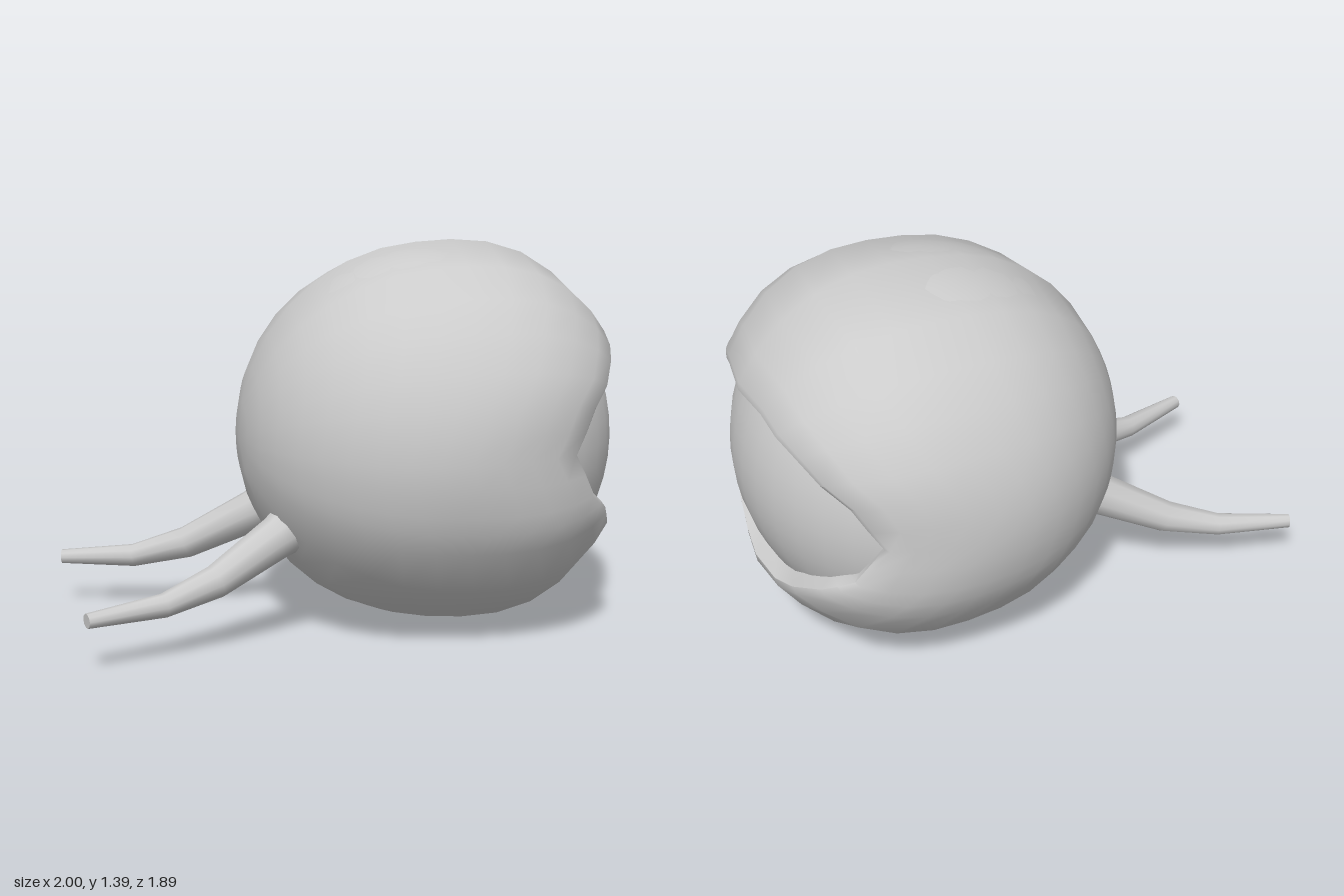
import * as THREE from 'three';
import { toCreasedNormals } from 'three/addons/utils/BufferGeometryUtils.js';

const CENTER = new THREE.Vector3(0.295, 0.695, 0.23);
const FACING = 51; // degrees from +z towards +x
const material = new THREE.MeshStandardMaterial({ color: 0xcccccc });
const V = (x, y, z) => new THREE.Vector3(x, y, z);

// Skin over closed rings of points; rings run from start to end
function skin(rings, crease) {
  const n = rings[0].length, pos = [], index = [];
  rings.forEach(r => r.forEach(p => pos.push(p.x, p.y, p.z)));
  for (let i = 0; i < rings.length - 1; i++) {
    for (let j = 0; j < n; j++) {
      const k = (j + 1) % n, a = i * n, b = a + n;
      index.push(a + j, b + j, b + k, a + j, b + k, a + k);
    }
  }
  const g = new THREE.BufferGeometry();
  g.setAttribute('position', new THREE.Float32BufferAttribute(pos, 3));
  g.setIndex(index);
  return toCreasedNormals(g, crease);
}

// Unit direction from an angle beside the gaze and an elevation, in degrees
function direction(off, elev) {
  const a = THREE.MathUtils.degToRad(FACING + off), e = THREE.MathUtils.degToRad(elev);
  return V(Math.sin(a) * Math.cos(e), Math.sin(e), Math.cos(a) * Math.cos(e));
}

// Lids: a shell with an almond opening, swelling near the upper and lower rims
function lidGeometry() {
  const gaze = direction(0, 0);
  const upper = [[57.5, 0], [49, 12], [32, 22], [15, 28]];
  const lower = [[57.5, 0], [49, -12], [38, -18], [14, -28.5]];
  const flip = pts => pts.map(([o, e]) => [-o, e]);
  const outline = [...upper, ...flip(upper).reverse(), ...flip(lower).slice(1), ...lower.slice(1).reverse()];
  const rim = [];
  outline.forEach((p, i) => {
    const q = outline[(i + 1) % outline.length];
    for (const t of [0, 0.5]) rim.push(direction(p[0] + (q[0] - p[0]) * t, p[1] + (q[1] - p[1]) * t));
  });
  const radius = d => {
    const front = THREE.MathUtils.smoothstep(d.dot(gaze), -0.1, 0.65);
    const lift = THREE.MathUtils.smoothstep(Math.abs(d.y), 0, 0.4);
    return 0.69 + front * (0.018 + 0.04 * lift);
  };
  // slide a rim direction along its great circle towards the back pole
  const slide = (d, s) => {
    const start = d.angleTo(gaze), a = start + (Math.PI - start) * s;
    const side = d.clone().addScaledVector(gaze, -d.dot(gaze)).normalize();
    return gaze.clone().multiplyScalar(Math.cos(a)).addScaledVector(side, Math.sin(a));
  };
  const rings = [
    rim.map(d => d.clone().multiplyScalar(0.655)),
    rim.map(d => d.clone().multiplyScalar(radius(d) - 0.012)),
  ];
  const rows = 14;
  for (let i = 0; i <= rows; i++) {
    const s = i === 0 ? 0.014 : i / rows;
    rings.push(rim.map(d => {
      const p = slide(d, s);
      return p.multiplyScalar(radius(p));
    }));
  }
  return skin(rings, 0.9);
}

// Tail: tapering, bent tube with a closed tip; stations are [x, y, z, radius]
function tailGeometry(stations) {
  const pts = stations.map(s => V(s[0], s[1], s[2]));
  const sides = 10;
  const rings = stations.map((s, i) => {
    const dir = pts[Math.min(i + 1, pts.length - 1)].clone().sub(pts[Math.max(i - 1, 0)]).normalize();
    const right = dir.clone().cross(V(0, 1, 0)).normalize();
    const up = right.clone().cross(dir);
    return Array.from({ length: sides }, (_, j) => {
      const a = j / sides * Math.PI * 2;
      return pts[i].clone().addScaledVector(right, Math.cos(a) * s[3]).addScaledVector(up, Math.sin(a) * s[3]);
    });
  });
  const tip = pts[pts.length - 1];
  rings.push(rings[0].map(() => tip.clone()));
  return skin(rings, 1);
}

export function createModel() {
  const model = new THREE.Group();
  const add = (name, geometry) => {
    const mesh = new THREE.Mesh(geometry, material);
    mesh.name = name;
    model.add(mesh);
    return mesh;
  };

  // Ball and the lids around it
  add('eyeball', new THREE.SphereGeometry(0.677, 40, 28)).position.copy(CENTER);
  add('eyelids', lidGeometry()).position.copy(CENTER);

  // Two tails at the lower back
  add('sideTail', tailGeometry([
    [-0.16, 0.45, 0.07, 0.11], [-0.3, 0.37, 0.015, 0.078], [-0.53, 0.245, -0.07, 0.059],
    [-0.72, 0.19, -0.14, 0.042], [-0.99, 0.18, -0.24, 0.026],
  ]));
  add('rearTail', tailGeometry([
    [0.06, 0.45, -0.18, 0.11], [-0.035, 0.37, -0.32, 0.078], [-0.17, 0.245, -0.53, 0.059],
    [-0.28, 0.19, -0.7, 0.042], [-0.43, 0.18, -0.93, 0.026],
  ]));
  return model;
}
